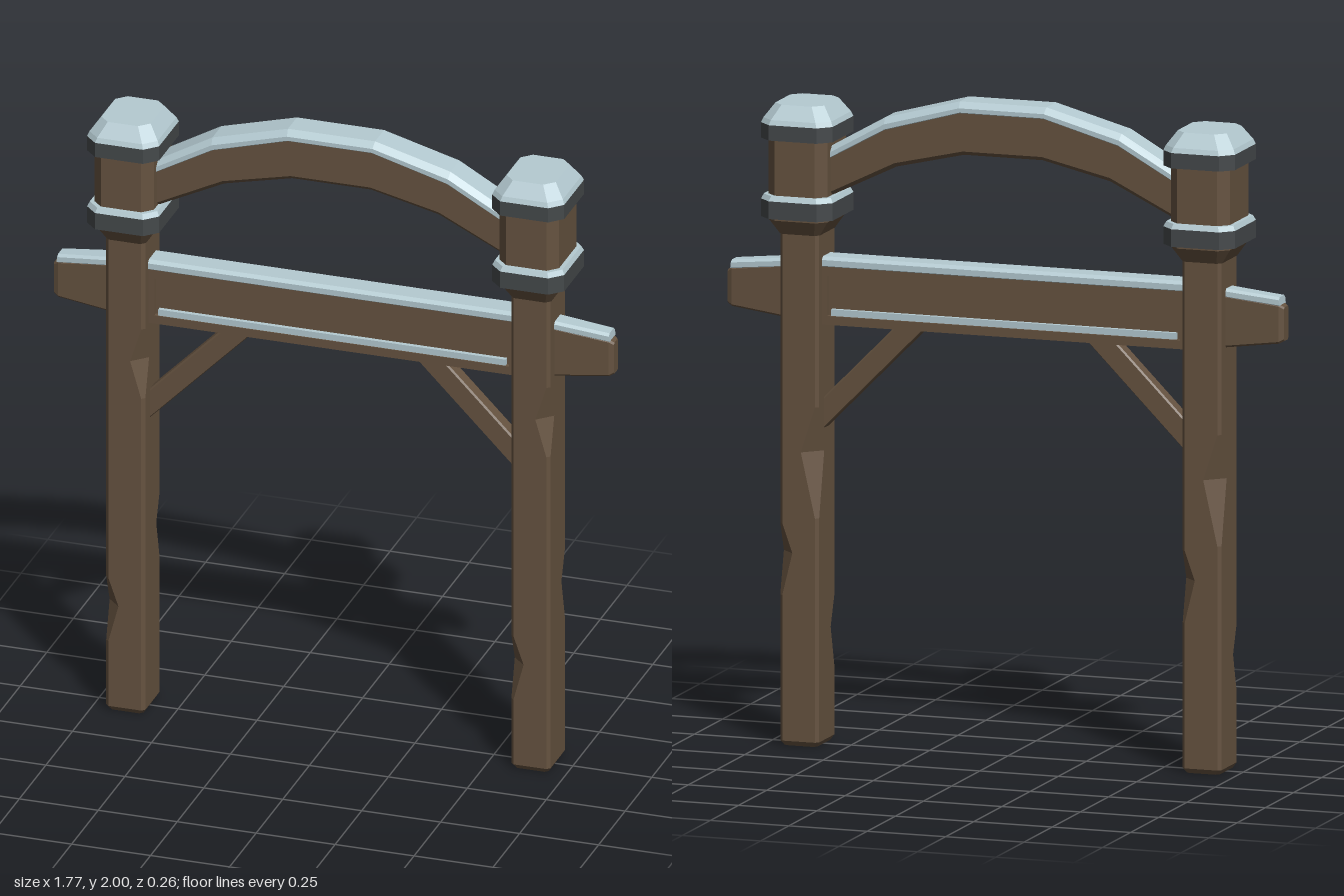
import * as THREE from 'three';

const wood = new THREE.MeshStandardMaterial({ color: 0x665340 });
wood.name = 'brownWood';
const iron = new THREE.MeshStandardMaterial({ color: 0x45494b });
iron.name = 'darkIron';
const trim = new THREE.MeshStandardMaterial({ color: 0xb5cbd2 });
trim.name = 'paleBlueTrim';

function part(name, geometry, material, parent) {
  const mesh = new THREE.Mesh(geometry, material);
  mesh.name = name;
  parent.add(mesh);
  return mesh;
}

// Chamfered rectangle, counter-clockwise; one chamfer size per corner
function octagon(hu, hv, c) {
  const [a, b, d, e] = Array.isArray(c) ? c : [c, c, c, c];
  return [
    [hu, hv - a], [hu - a, hv], [b - hu, hv], [-hu, hv - b],
    [-hu, d - hv], [d - hu, -hv], [hu - e, -hv], [hu, e - hv],
  ];
}

// Faceted closed skin through a list of rings
function loft(rings) {
  const pos = [];
  const tri = (...pts) => pts.forEach((p) => pos.push(...p));
  const n = rings[0].length;
  for (let i = 0; i < rings.length - 1; i++) {
    for (let j = 0; j < n; j++) {
      const k = (j + 1) % n;
      const [a, b, c, d] = [rings[i][j], rings[i][k], rings[i + 1][k], rings[i + 1][j]];
      tri(a, b, c);
      tri(a, c, d);
    }
  }
  const first = rings[0], last = rings[rings.length - 1];
  for (let j = 1; j < n - 1; j++) {
    tri(first[0], first[j + 1], first[j]);
    tri(last[0], last[j], last[j + 1]);
  }
  const g = new THREE.BufferGeometry();
  g.setAttribute('position', new THREE.Float32BufferAttribute(pos, 3));
  g.computeVertexNormals();
  return g;
}

// Upright solid: stations are [y, halfX, halfZ, chamfer]
const column = (stations) => loft(stations.map(([y, hx, hz, c]) =>
  octagon(hx, hz, c).map(([u, v]) => [u, y, -v])));

// Solid along x: stations are [bottomX, bottomY, topX, topY, halfZ]
const rail = (stations, c) => loft(stations.map(([xb, yb, xt, yt, h]) => {
  const hv = (yt - yb) / 2;
  return octagon(h, hv, c).map(([u, v]) => {
    const t = (v / hv + 1) / 2;
    return [xb + (xt - xb) * t, yb + (yt - yb) * t, -u];
  });
}));

const mirrored = (half) => [
  ...half,
  ...half.slice().reverse().map(([xb, yb, xt, yt, h]) => [-xb, yb, -xt, yt, h]),
];

// Post shaft with a carved notch on each corner
function shaftGeometry() {
  const c = 0.01;
  const stations = [[0, 0.053, 0.067, c], [0.015, 0.062, 0.077, c]];
  const notches = [ // corner, bottom, peak, top, depth
    [2, 0.23, 0.35, 0.44, 0.042], [0, 0.46, 0.59, 0.68, 0.042],
    [1, 0.70, 0.90, 1.04, 0.055], [3, 1.05, 1.17, 1.28, 0.045],
  ];
  for (const [corner, low, mid, high, depth] of notches) {
    const cut = [c, c, c, c];
    cut[corner] = depth;
    stations.push([low, 0.062, 0.077, c], [mid, 0.062, 0.077, cut], [high, 0.062, 0.077, c]);
  }
  stations.push([1.6, 0.062, 0.077, c]);
  return column(stations);
}

function makePost(name, x) {
  const post = new THREE.Group();
  post.name = name;
  post.position.x = x;
  part('shaft', shaftGeometry(), wood, post);
  part('head', column([
    [1.565, 0.064, 0.08, 0.014], [1.61, 0.094, 0.112, 0.03], [1.88, 0.094, 0.112, 0.03],
  ]), wood, post);
  part('lowerBand', column([[1.618, 0.114, 0.131, 0.038], [1.672, 0.114, 0.131, 0.038]]), iron, post);
  part('lowerBandTrim', column([[1.672, 0.114, 0.131, 0.038], [1.687, 0.107, 0.124, 0.036]]), trim, post);
  part('upperBand', column([[1.858, 0.114, 0.131, 0.038], [1.905, 0.114, 0.131, 0.038]]), iron, post);
  part('cap', column([
    [1.905, 0.114, 0.131, 0.038], [1.92, 0.108, 0.125, 0.037], [1.963, 0.078, 0.095, 0.03],
  ]), trim, post);
  return post;
}

function rectPath(PathClass, x, y0, y1) {
  const p = new PathClass();
  p.moveTo(-x, y0);
  p.lineTo(x, y0);
  p.lineTo(x, y1);
  p.lineTo(-x, y1);
  p.closePath();
  return p;
}

function makeBeam() {
  const beam = new THREE.Group();
  beam.name = 'crossBeam';
  // Frame with a recessed panel on both faces
  const frame = rectPath(THREE.Shape, 0.6, 1.288, 1.468);
  frame.holes.push(rectPath(THREE.Path, 0.562, 1.315, 1.437));
  const frameGeo = new THREE.ExtrudeGeometry(frame, { depth: 0.08, bevelEnabled: false });
  part('beamFrame', frameGeo.translate(0, 0, -0.04), wood, beam);
  part('beamPanel', new THREE.BoxGeometry(1.14, 0.14, 0.05).translate(0, 1.376, 0), wood, beam);
  part('beamTopTrim', rail([
    [-0.6, 1.466, -0.6, 1.496, 0.043], [0.6, 1.466, 0.6, 1.496, 0.043],
  ], [0.01, 0.01, 0.002, 0.002]), trim, beam);
  for (const z of [-0.031, 0.031]) {
    part('ledgeTrim', new THREE.BoxGeometry(1.1, 0.02, 0.016).translate(0, 1.326, z), trim, beam);
  }
  // Tapered ends outside the posts
  for (const turn of [0, Math.PI]) {
    const end = new THREE.Group();
    end.name = turn ? 'rightBeamEnd' : 'leftBeamEnd';
    end.rotation.y = turn;
    part('endWood', rail([
      [0.58, 1.285, 0.58, 1.475, 0.036], [0.872, 1.322, 0.872, 1.442, 0.027],
      [0.887, 1.33, 0.887, 1.433, 0.02],
    ], 0.006), wood, end);
    part('endTrim', rail([
      [0.6, 1.466, 0.6, 1.491, 0.036], [0.876, 1.438, 0.873, 1.464, 0.028],
    ], [0.008, 0.008, 0.002, 0.002]), trim, end);
    beam.add(end);
  }
  return beam;
}

function makeArch() {
  const arch = new THREE.Group();
  arch.name = 'arch';
  part('archWood', rail(mirrored([
    [-0.57, 1.675, -0.57, 1.798, 0.052], [-0.34, 1.787, -0.377, 1.91, 0.052],
    [-0.125, 1.837, -0.138, 1.978, 0.052],
  ]), [0.002, 0.002, 0.012, 0.012]), wood, arch);
  part('archTrim', rail(mirrored([
    [-0.57, 1.79, -0.57, 1.825, 0.06], [-0.372, 1.9, -0.377, 1.935, 0.06],
    [-0.133, 1.967, -0.138, 2.0, 0.06],
  ]), [0.018, 0.018, 0.002, 0.002]), trim, arch);
  return arch;
}

// Diagonal brace between post and beam
function braceGeometry(side) {
  const pts = [[0.6, 0.947], [0.25, 1.3], [0.345, 1.3], [0.6, 1.043]];
  const shape = new THREE.Shape(pts.map(([x, y]) => new THREE.Vector2(x * side, y)));
  return new THREE.ExtrudeGeometry(shape, {
    depth: 0.04, bevelThickness: 0.005, bevelSize: 0.005, bevelOffset: -0.005, bevelSegments: 1,
  }).translate(0, 0, -0.02);
}

export function createModel() {
  const model = new THREE.Group();
  model.name = 'gateway';
  model.add(makePost('leftPost', 0.64), makePost('rightPost', -0.643), makeBeam(), makeArch());
  part('leftBrace', braceGeometry(1), wood, model);
  part('rightBrace', braceGeometry(-1), wood, model);
  return model;
}
